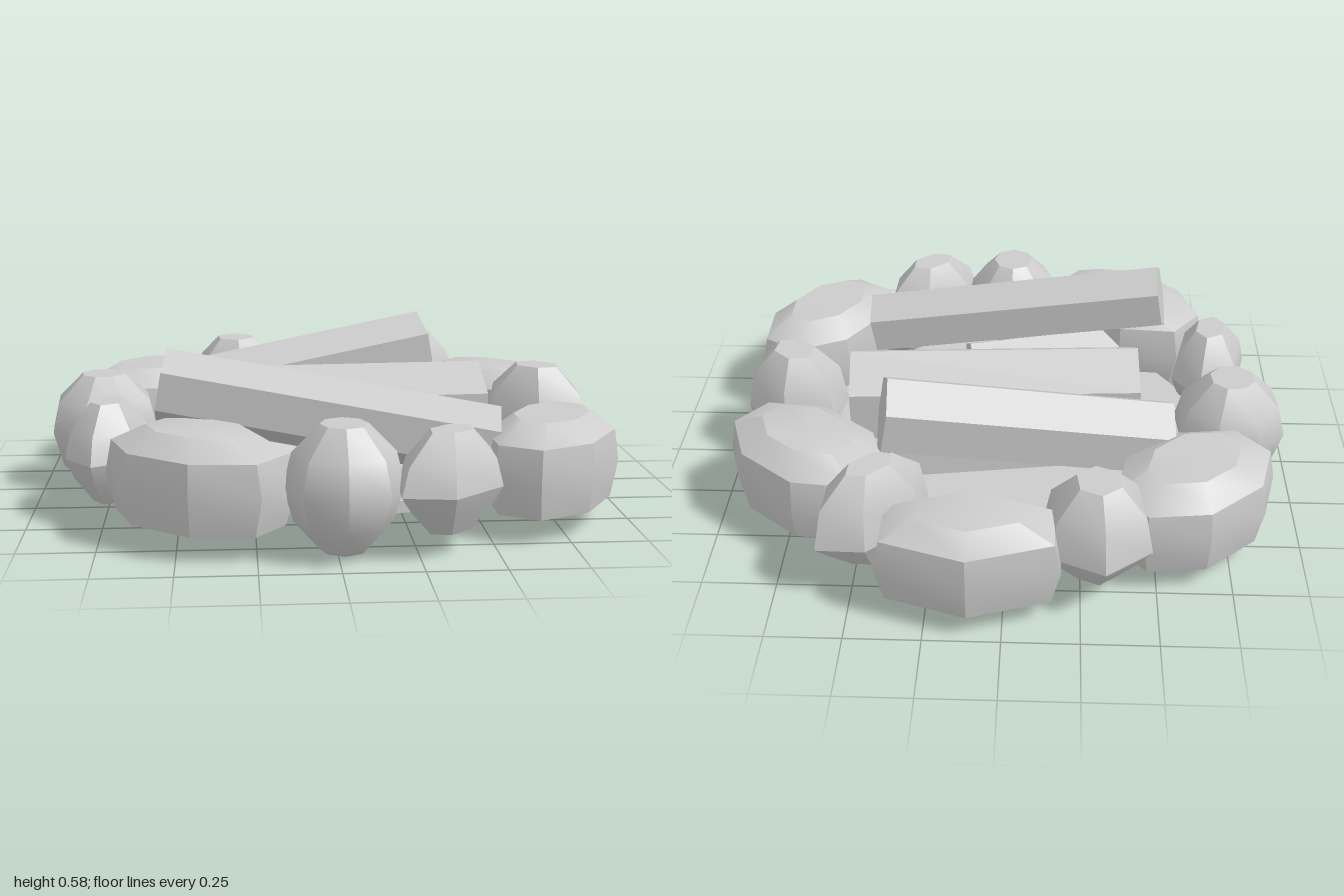
import * as THREE from 'three';
import { toCreasedNormals } from 'three/addons/utils/BufferGeometryUtils.js';

const material = new THREE.MeshStandardMaterial({ color: 0xcccccc });

function addMesh(parent, name, geometry) {
  const mesh = new THREE.Mesh(geometry, material);
  mesh.name = name;
  parent.add(mesh);
  return mesh;
}

// Stone: a polygon with half length a and half width b, stacked in scaled rings [height, scale]
function stoneGeometry(a, b, sides, phase, rings) {
  const pos = [], index = [];
  for (const [y, s] of rings) {
    for (let i = 0; i < sides; i++) {
      const t = ((i + phase) / sides) * Math.PI * 2;
      pos.push(a * s * Math.cos(t), y, b * s * Math.sin(t));
    }
  }
  const last = rings.length - 1;
  pos.push(0, rings[0][0], 0, 0, rings[last][0], 0);
  const bottom = sides * rings.length, top = bottom + 1;
  for (let i = 0; i < sides; i++) {
    const j = (i + 1) % sides;
    for (let r = 0; r < last; r++) {
      const p = r * sides + i, q = r * sides + j;
      index.push(p, p + sides, q + sides, p, q + sides, q);
    }
    index.push(bottom, i, j, top, last * sides + j, last * sides + i);
  }
  const g = new THREE.BufferGeometry();
  g.setAttribute('position', new THREE.Float32BufferAttribute(pos, 3));
  g.setIndex(index);
  return toCreasedNormals(g, 0.55);
}

// Wide stones sit flat on the ground: name, x, z, half length, half width, turn, sides
const wideStones = [
  ['backStone', 0.11, -0.81, 0.34, 0.19, 0, 6],
  ['backLeftStone', -0.62, -0.5, 0.33, 0.23, -0.72, 8],
  ['frontLeftStone', -0.43, 0.65, 0.34, 0.23, 0.66, 8],
  ['frontRightStone', 0.73, 0.5, 0.33, 0.21, -1.01, 8],
  ['backRightStone', 0.68, -0.38, 0.34, 0.22, 0.68, 8],
];
const wideRings = [[0.08, 0.9], [0.2, 1], [0.31, 0.93], [0.37, 0.55]];

// Small rocks are rounder: the same fields, then low and high points
const smallRocks = [
  ['backLeftRock', -0.3, -0.72, 0.2, 0.19, 1.45, 6, 0.07, 0.43],
  ['backRightRock', 0.43, -0.67, 0.23, 0.13, -0.75, 6, 0.08, 0.44],
  ['leftRock', -0.78, -0.07, 0.2, 0.2, 0.3, 8, 0, 0.41],
  ['frontLeftRock', -0.735, 0.31, 0.21, 0.14, -1.35, 6, 0.05, 0.39],
  ['frontRock', 0.02, 0.79, 0.21, 0.19, -1.57, 8, 0.01, 0.41],
  ['frontRightRock', 0.35, 0.8, 0.22, 0.14, -0.7, 6, 0.07, 0.39],
  ['rightRock', 0.78, 0.02, 0.21, 0.17, 0.75, 6, 0.06, 0.44],
];
const rockRings = (low, high) => [
  [low, 0.4], [low + 0.09, 0.82], [0.21, 1], [high - 0.09, 0.86], [high, 0.4],
];

// Logs: name, radius, left end, right end
const logs = [
  ['frontLog', 0.125, [-0.55, 0.46, 0.415], [0.54, 0.27, 0.505]],
  ['middleLog', 0.18, [-0.45, 0.27, 0.05], [0.575, 0.27, -0.01]],
  ['backLog', 0.14, [-0.54, 0.27, -0.245], [0.42, 0.44, -0.385]],
  ['lowerFrontLog', 0.1, [-0.58, 0.18, 0.53], [0.17, 0.18, 0.34]],
  ['lowerBackLog', 0.1, [-0.2, 0.2, -0.17], [0.42, 0.25, -0.33]],
];

export function createModel() {
  const group = new THREE.Group();
  group.name = 'campfire';

  // Ground slab inside the ring
  const slab = new THREE.CylinderGeometry(0.7, 0.7, 0.04, 16);
  addMesh(group, 'ground', toCreasedNormals(slab, 0.5)).position.y = 0.101;

  // Ring of stones
  const ring = new THREE.Group();
  ring.name = 'stoneRing';
  group.add(ring);
  const place = (name, x, z, turn, geometry) => {
    const stone = addMesh(ring, name, geometry);
    stone.position.set(x, 0, z);
    stone.rotation.y = -turn;
  };
  for (const [name, x, z, a, b, turn, sides] of wideStones) {
    place(name, x, z, turn, stoneGeometry(a, b, sides, 0.5, wideRings));
  }
  for (const [name, x, z, a, b, turn, sides, low, high] of smallRocks) {
    place(name, x, z, turn, stoneGeometry(a, b, sides, 0, rockRings(low, high)));
  }

  // Stacked six-sided firewood, each log with a ridge on top
  const wood = new THREE.Group();
  wood.name = 'firewood';
  group.add(wood);
  for (const [name, radius, left, right] of logs) {
    const from = new THREE.Vector3(...left), to = new THREE.Vector3(...right);
    const g = new THREE.CylinderGeometry(radius, radius, from.distanceTo(to), 6);
    g.rotateX(Math.PI / 2);
    const log = addMesh(wood, name, toCreasedNormals(g, 0.3));
    log.position.lerpVectors(from, to, 0.5);
    log.lookAt(to);
  }

  return group;
}
